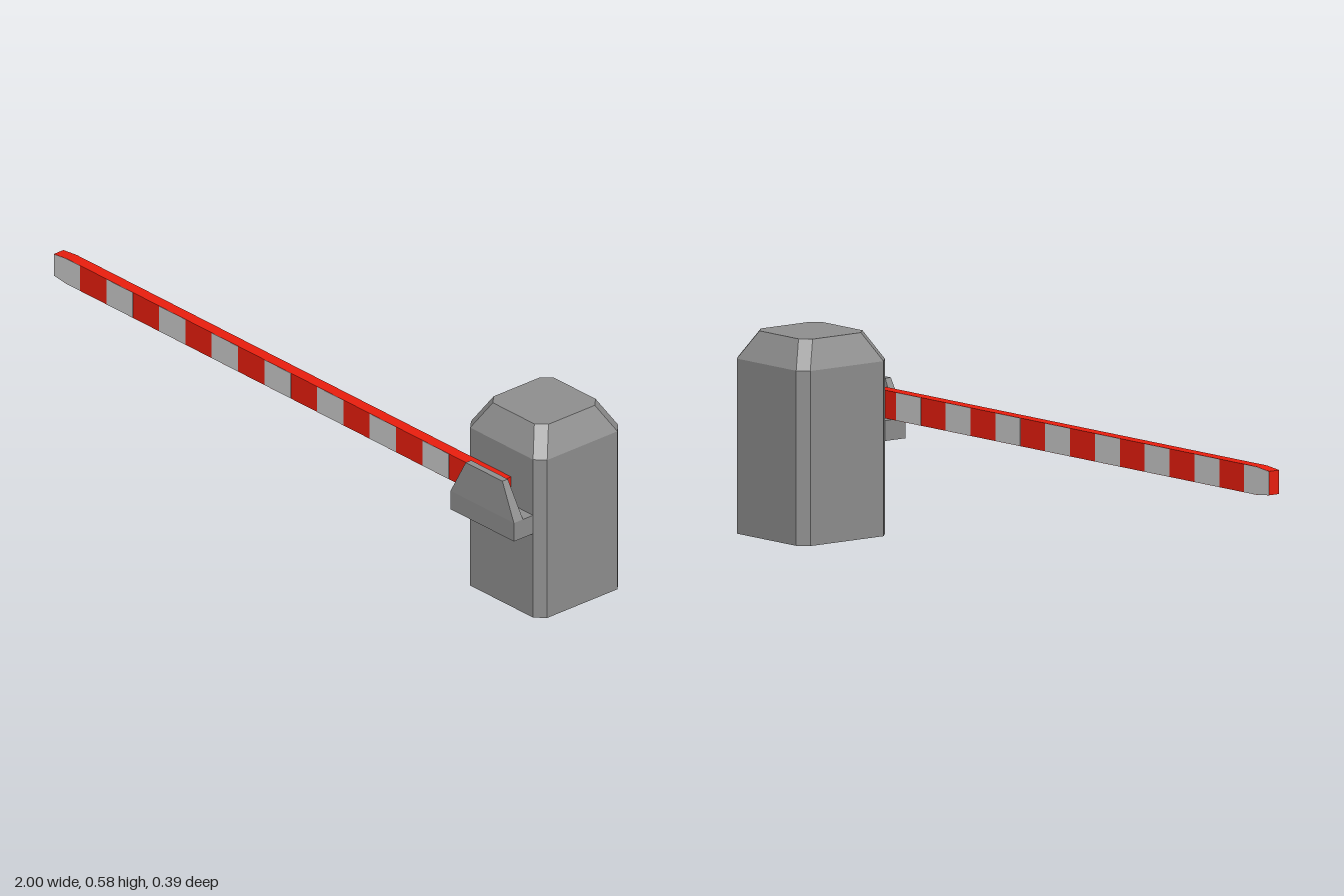
import * as THREE from 'three';

const material = (color) => new THREE.MeshStandardMaterial({ color, flatShading: true });

// Closed solid through stacked convex rings; each ring runs counter-clockwise seen from above
function loft(rings) {
  const n = rings[0].length;
  const positions = rings.flat(2);
  const index = [];
  for (let r = 0; r < rings.length - 1; r++) {
    for (let i = 0; i < n; i++) {
      const a = r * n + i, b = r * n + (i + 1) % n;
      index.push(a, b, b + n, a, b + n, a + n);
    }
  }
  const last = (rings.length - 1) * n;
  for (let i = 1; i < n - 1; i++) {
    index.push(0, i + 1, i, last, last + i, last + i + 1);
  }
  const indexed = new THREE.BufferGeometry();
  indexed.setAttribute('position', new THREE.Float32BufferAttribute(positions, 3));
  indexed.setIndex(index);
  const geometry = indexed.toNonIndexed();
  geometry.computeVertexNormals();
  return geometry;
}

// Square ring with cut corners
function cutSquare(y, half, cut) {
  const k = half - cut;
  return [[k, half], [half, k], [half, -k], [k, -half], [-k, -half], [-half, -k], [-half, k], [-k, half]]
    .map(([x, z]) => [x, y, z]);
}

function rectangle(y, x0, x1, z0, z1) {
  return [[x0, y, z1], [x1, y, z1], [x1, y, z0], [x0, y, z0]];
}

// Plate in the xy plane, extruded from z0 to z1
function plate(points, z0, z1) {
  const shape = new THREE.Shape(points.map(([x, y]) => new THREE.Vector2(x, y)));
  const geometry = new THREE.ExtrudeGeometry(shape, { depth: z1 - z0, bevelEnabled: false });
  return geometry.translate(0, 0, z0);
}

export function createModel() {
  const model = new THREE.Group();
  model.name = 'barrierGate';
  const casing = material(0x8f8f8f);
  const red = material(0xeb1e0e);
  const pale = material(0xcccccc);

  const add = (name, geometry, mat, parent = model) => {
    const mesh = new THREE.Mesh(geometry, mat);
    mesh.name = name;
    parent.add(mesh);
    return mesh;
  };

  // Post with cut corners and a sloping cap
  const post = add('post', loft([
    cutSquare(0, 0.16, 0.028),
    cutSquare(0.497, 0.16, 0.028),
    cutSquare(0.577, 0.115, 0.028),
  ]), casing);
  post.position.set(0.84, 0, -0.035);

  // Bracket: a shelf under the boom and a tapered guard in front of it
  const bracket = new THREE.Group();
  bracket.name = 'bracket';
  model.add(bracket);
  add('bracketShelf', loft([
    rectangle(0.264, 0.706, 0.972, 0.12, 0.197),
    rectangle(0.322, 0.706, 0.972, 0.12, 0.197),
  ]), casing, bracket);
  add('bracketGuard', loft([
    rectangle(0.322, 0.706, 0.972, 0.163, 0.197),
    rectangle(0.43, 0.762, 0.916, 0.17, 0.19),
  ]), casing, bracket);

  // Boom: a red beam with a slightly tapered tip
  const boom = new THREE.Group();
  boom.name = 'boom';
  model.add(boom);
  const left = -1, right = 0.88, taperEnd = -0.945;
  const bottom = 0.328, top = 0.408, back = 0.125, front = 0.161, taper = 0.006;
  add('boomBeam', plate([
    [left, bottom + taper], [taperEnd, bottom], [right, bottom],
    [right, top], [taperEnd, top], [left, top - taper],
  ], back, front), red, boom);

  // Pale stripes, showing on the front and back of the beam only
  const count = 17, width = (right - left) / count, skin = 0.0006;
  const low = bottom + skin, high = top - skin;
  for (let i = 0; i < count; i += 2) {
    const x0 = left + i * width + (i === 0 ? skin : 0);
    const x1 = left + (i + 1) * width - (i === count - 1 ? skin : 0);
    const outline = i === 0
      ? [[x0, low + taper], [taperEnd, low], [x1, low], [x1, high], [taperEnd, high], [x0, high - taper]]
      : [[x0, low], [x1, low], [x1, high], [x0, high]];
    add('boomStripe', plate(outline, back - skin, front + skin), pale, boom);
  }

  return model;
}
